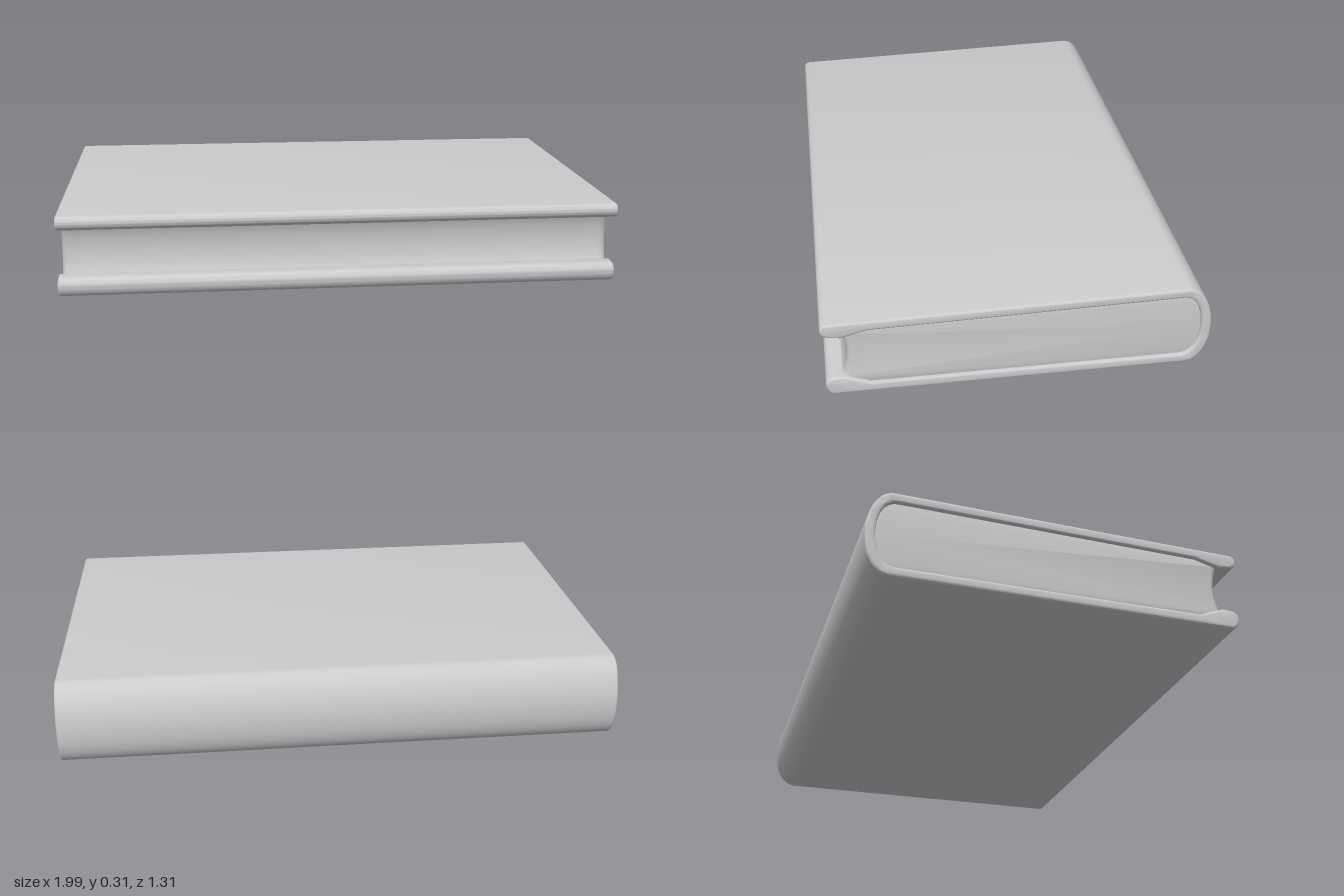
import * as THREE from 'three';
import { toCreasedNormals } from 'three/addons/utils/BufferGeometryUtils.js';

const grey = new THREE.MeshStandardMaterial({ color: 0xcccccc });

// Extrude a side profile (drawn as -z, y) along x, narrowing slightly towards the fore edge
function extrudeAlongX(name, shape, halfWidth, bevelSize, bevelThickness) {
  const depth = 2 * (halfWidth - bevelThickness);
  const geo = new THREE.ExtrudeGeometry(shape, {
    depth, curveSegments: 14, bevelEnabled: true, bevelSegments: 3,
    bevelSize, bevelThickness, bevelOffset: -bevelSize,
  });
  geo.translate(0, 0, -depth / 2);
  geo.rotateY(Math.PI / 2);
  const p = geo.attributes.position;
  for (let i = 0; i < p.count; i++) {
    p.setX(i, p.getX(i) * (1 - 0.012 * (p.getZ(i) + 0.655) / 1.31));
  }
  const mesh = new THREE.Mesh(toCreasedNormals(geo, 0.7), grey);
  mesh.name = name;
  return mesh;
}

export function createModel() {
  const book = new THREE.Group();
  book.name = 'book';

  // Wrap-around cover: two boards with rounded lips joined by a rounded spine
  const cover = new THREE.Shape();
  cover.moveTo(-0.63, 0.287);
  cover.lineTo(0.56, 0.31);
  cover.bezierCurveTo(0.62, 0.312, 0.655, 0.22, 0.655, 0.15);
  cover.bezierCurveTo(0.655, 0.07, 0.63, 0, 0.56, 0);
  cover.lineTo(-0.62, 0);
  cover.bezierCurveTo(-0.645, 0, -0.665, 0.06, -0.625, 0.066);
  cover.lineTo(-0.59, 0.07);
  cover.lineTo(-0.5, 0.035);
  cover.lineTo(0.55, 0.035);
  cover.bezierCurveTo(0.6, 0.035, 0.62, 0.09, 0.62, 0.15);
  cover.bezierCurveTo(0.62, 0.21, 0.6, 0.275, 0.55, 0.275);
  cover.lineTo(-0.5, 0.254);
  cover.lineTo(-0.59, 0.23);
  cover.lineTo(-0.625, 0.235);
  cover.bezierCurveTo(-0.665, 0.24, -0.665, 0.287, -0.63, 0.287);
  book.add(extrudeAlongX('cover', cover, 0.997, 0.008, 0.008));

  // Page block with a hollow fore edge, its borders tucked into the cover
  const pages = new THREE.Shape();
  pages.moveTo(-0.6, 0.25);
  pages.lineTo(-0.5, 0.275);
  pages.lineTo(0.55, 0.295);
  pages.bezierCurveTo(0.61, 0.295, 0.642, 0.21, 0.642, 0.15);
  pages.bezierCurveTo(0.642, 0.08, 0.61, 0.013, 0.55, 0.013);
  pages.lineTo(-0.5, 0.013);
  pages.lineTo(-0.6, 0.05);
  pages.bezierCurveTo(-0.565, 0.1, -0.565, 0.2, -0.6, 0.25);
  book.add(extrudeAlongX('pages', pages, 0.984, 0.02, 0.03));

  return book;
}
